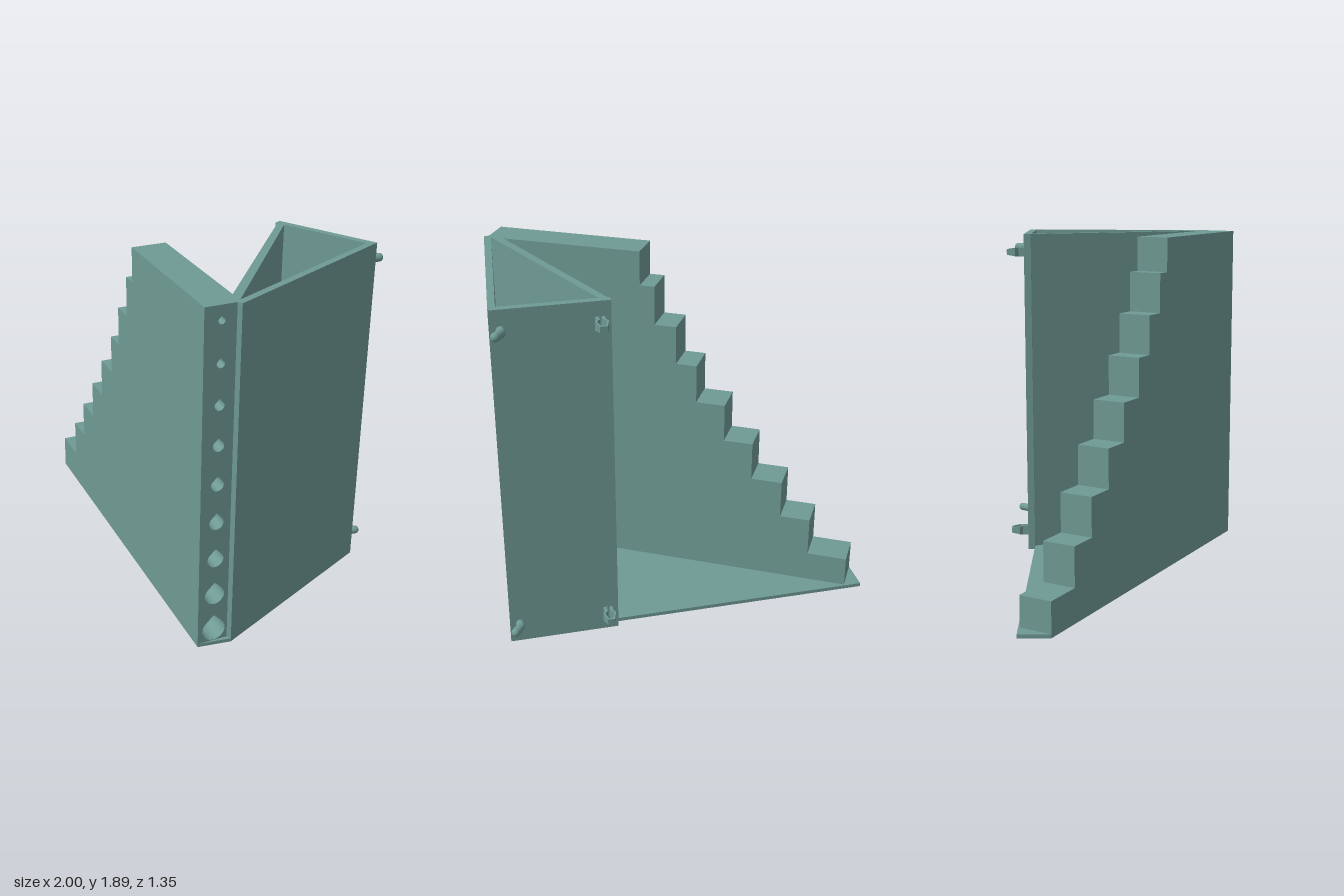
import * as THREE from 'three';

const material = new THREE.MeshStandardMaterial({ color: 0x6f9a94 });

function part(name, geometry, parent) {
  const mesh = new THREE.Mesh(geometry, material);
  mesh.name = name;
  parent.add(mesh);
  return mesh;
}

// Upright prism from a counter-clockwise plan outline of [x, z] points, with an optional hole
function prism(outline, y0, y1, hole) {
  const toPoints = (list) => list.map(([x, z]) => new THREE.Vector2(x, -z));
  const shape = new THREE.Shape(toPoints(outline));
  if (hole) shape.holes.push(new THREE.Path(toPoints(hole).reverse()));
  const g = new THREE.ExtrudeGeometry(shape, { depth: y1 - y0, bevelEnabled: false });
  return g.rotateX(-Math.PI / 2).translate(0, y0, 0);
}

// Round bore with a 45 degree peak
function teardrop(u, v, r) {
  const path = new THREE.Path();
  const k = r * Math.SQRT1_2;
  path.moveTo(u, v + r * Math.SQRT2);
  path.lineTo(u - k, v + k);
  path.absarc(u, v, r, Math.PI * 0.75, Math.PI * 2.25, false);
  path.closePath();
  return path;
}

// Split snap clip in plan, thinning in height towards its tip
function snapClip(x0) {
  const mirrored = (half) => [
    ...half.map(([x, z]) => [x0 + x, z]),
    ...half.map(([x, z]) => [x0 - x, z]).reverse(),
  ];
  const g = prism(
    mirrored([[0.025, -0.565], [0.022, -0.605], [0.034, -0.622], [0.019, -0.672]]),
    -0.026, 0.026,
    mirrored([[0.007, -0.572], [0.007, -0.605], [0.024, -0.624], [0.012, -0.663]]),
  );
  const p = g.attributes.position;
  for (let i = 0; i < p.count; i++) {
    const t = THREE.MathUtils.clamp((-p.getZ(i) - 0.605) / 0.067, 0, 1);
    p.setY(i, p.getY(i) * (1 - 0.4 * t));
  }
  g.computeVertexNormals();
  return g;
}

export function createModel() {
  const model = new THREE.Group();
  model.name = 'steppedHolder';
  const floor = 0.02, top = 1.89;

  // Thin floor plate under everything
  part('basePlate', prism([
    [-1, -0.53], [-1, -0.36], [0.79, 0.673], [0.9, 0.53],
    [0.997, -0.57], [0.414, -0.57], [0.414, -0.53],
  ], 0, floor), model);

  // Open wedge-shaped bin
  part('wedgeBin', prism([
    [0.414, -0.57], [0.414, -0.53], [0.425, -0.53], [0.8, 0.46],
    [0.87, 0.53], [0.9, 0.53], [0.997, -0.57],
  ], floor, top, [[0.467, -0.53], [0.865, 0.497], [0.957, -0.53]]), model);

  // Stepped wall: one course per step, each bored from the end face
  const wall = new THREE.Group();
  wall.name = 'steppedWall';
  wall.position.set(0.79, 0, 0.673);
  wall.rotation.y = Math.atan2(-1.79, -1.033);
  model.add(wall);
  const thick = 0.187, cap = 0.08;
  const stepX = [-1, -0.81, -0.665, -0.515, -0.375, -0.235, -0.135, -0.03, 0.04];
  const stepY = [0, 0.19, 0.408, 0.623, 0.84, 1.054, 1.27, 1.485, 1.702, top];
  const radii = [0.064, 0.054, 0.044, 0.039, 0.034, 0.03, 0.026, 0.021, 0.018];
  stepX.forEach((x, i) => {
    const length = (0.79 - x) / 0.867, y0 = stepY[i], y1 = stepY[i + 1];
    const section = new THREE.Shape([
      new THREE.Vector2(-thick, y0), new THREE.Vector2(0, y0),
      new THREE.Vector2(0, y1), new THREE.Vector2(-thick, y1),
    ]);
    section.holes.push(teardrop(-0.089, 0.087 + 0.2155 * i, radii[i]));
    part('boredCourse', new THREE.ExtrudeGeometry(section, {
      depth: length - cap, bevelEnabled: false, curveSegments: 24,
    }), wall);
    part('stepEnd', new THREE.BoxGeometry(thick, y1 - y0, cap), wall)
      .position.set(-thick / 2, (y0 + y1) / 2, length - cap / 2);
  });

  // Mounting hardware on the back: split snap clips and bent pegs
  for (const y of [0.11, 1.785]) {
    part('snapClip', snapClip(0.47), model).position.y = y;

    const path = new THREE.CurvePath();
    const a = new THREE.Vector3(0.943, y, -0.56), b = new THREE.Vector3(0.943, y, -0.6);
    const c = new THREE.Vector3(0.976, y, -0.645);
    path.add(new THREE.LineCurve3(a, b));
    path.add(new THREE.LineCurve3(b, c));
    part('bentPeg', new THREE.TubeGeometry(path, 16, 0.023, 16), model);
    part('pegTip', new THREE.SphereGeometry(0.023, 16, 12), model).position.copy(c);
  }
  return model;
}
